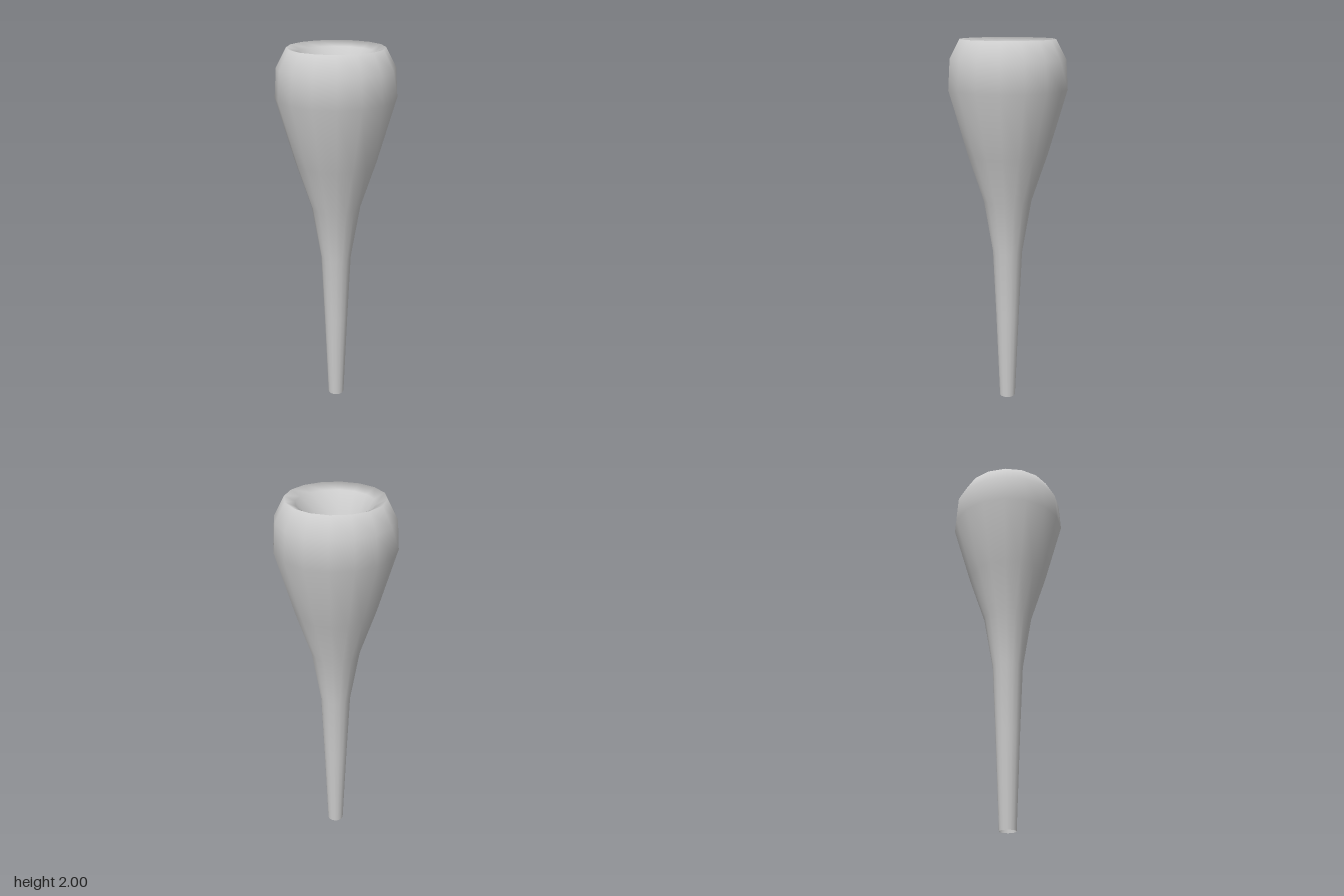
import * as THREE from 'three';

const SIDES = 16;

// Turns [radius, height] pairs into a smooth open shell.
function turned(name, profile) {
  const points = profile.map(([r, y]) => new THREE.Vector2(r, y));
  const mesh = new THREE.Mesh(
    new THREE.LatheGeometry(points, SIDES),
    new THREE.MeshStandardMaterial({ color: 0xcccccc, side: THREE.DoubleSide })
  );
  mesh.name = name;
  return mesh;
}

export function createModel() {
  const group = new THREE.Group();
  group.name = 'flutedVessel';

  // One continuous skin: hollow stem, swelling body, rolled rim, sunken funnel
  const stem = [[0.044, 0], [0.064, 0.5], [0.081, 0.87]];
  const body = [[0.13, 1.16], [0.213, 1.41], [0.311, 1.75], [0.301, 1.9]];
  const rim = [[0.248, 2], [0.195, 1.975]];
  const funnel = [[0.145, 1.88], [0.1, 1.79], [0.063, 1.73]];
  group.add(turned('vesselShell', [...stem, ...body, ...rim, ...funnel]));

  return group;
}
